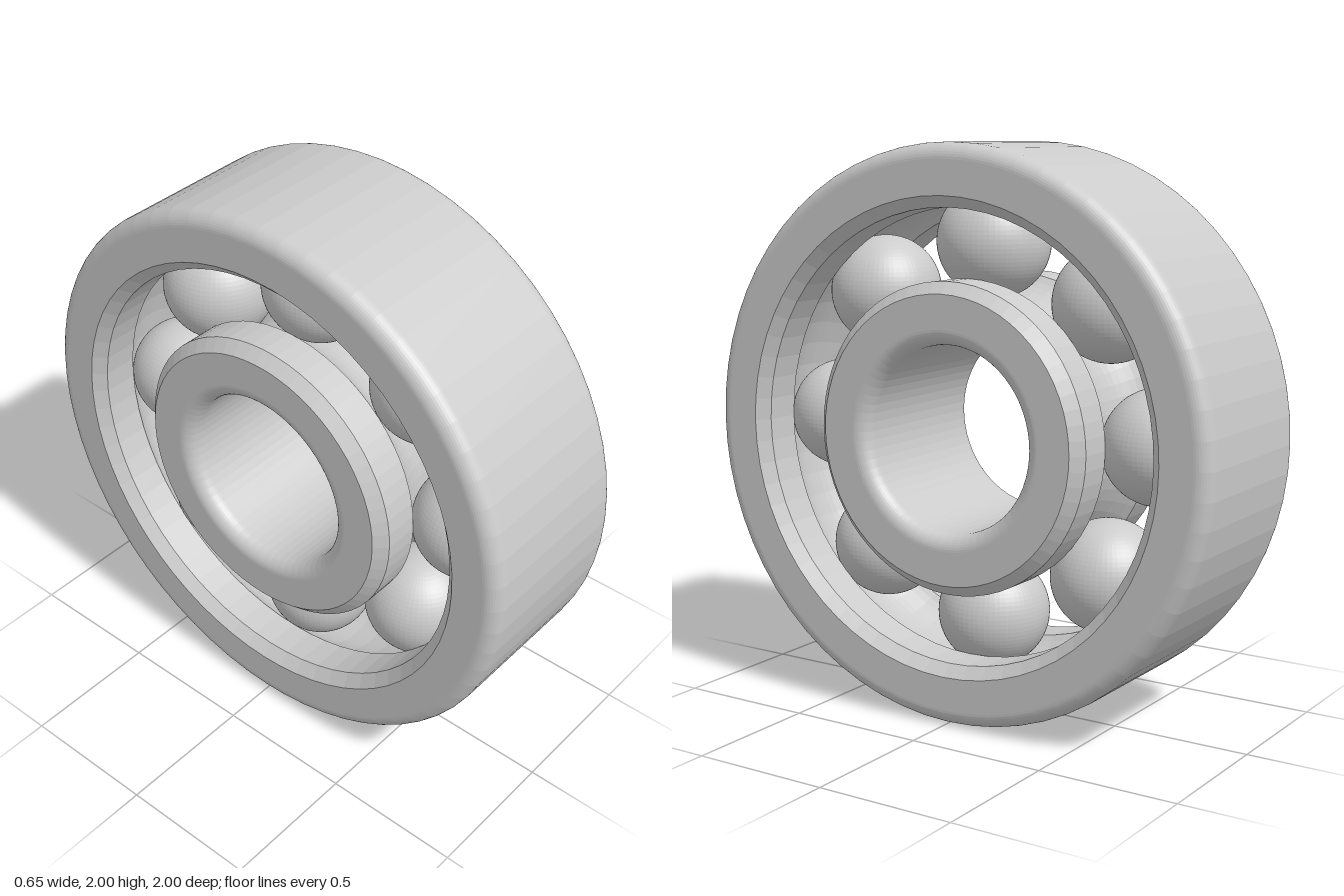
import * as THREE from 'three';

const HALF = 0.325;      // half width of both rings
const FILLET = 0.055;
const CHAMFER = 0.04;
const PITCH = 0.66;      // radius of the ball circle
const BALL = 0.2;
const BALLS = 8;

const material = new THREE.MeshStandardMaterial({
  color: 0xcccccc, flatShading: true, side: THREE.DoubleSide,
});

const point = (r, x) => new THREE.Vector2(r, x);

// Points along a circular arc in the (radius, width) plane
function arc(r, x, radius, start, end, steps) {
  return Array.from({ length: steps + 1 }, (_, i) => {
    const t = start + ((end - start) * i) / steps;
    return point(r + radius * Math.cos(t), x + radius * Math.sin(t));
  });
}

// Spins a closed, counterclockwise profile about the x axis
function ring(name, profile) {
  const geometry = new THREE.LatheGeometry(profile, 64);
  geometry.rotateZ(-Math.PI / 2);
  const mesh = new THREE.Mesh(geometry, material);
  mesh.name = name;
  return mesh;
}

// Rounded outside, chamfered inside, with a ball groove in the inner wall
function outerRing() {
  const outer = 1, inner = 0.785;
  const a = Math.acos((inner - PITCH) / BALL);
  return ring('outerRing', [
    point(inner + CHAMFER, -HALF),
    ...arc(outer - FILLET, -HALF + FILLET, FILLET, -Math.PI / 2, 0, 10),
    ...arc(outer - FILLET, HALF - FILLET, FILLET, 0, Math.PI / 2, 10),
    point(inner + CHAMFER, HALF),
    point(inner, HALF - CHAMFER),
    ...arc(PITCH, 0, BALL, a, -a, 14),
    point(inner, -HALF + CHAMFER),
    point(inner + CHAMFER, -HALF),
  ]);
}

// Chamfered outside with a ball groove, rounded bore
function innerRing() {
  const outer = 0.54, bore = 0.325;
  const a = Math.acos((PITCH - outer) / BALL);
  return ring('innerRing', [
    point(outer - CHAMFER, -HALF),
    point(outer, -HALF + CHAMFER),
    ...arc(PITCH, 0, BALL, Math.PI + a, Math.PI - a, 14),
    point(outer, HALF - CHAMFER),
    point(outer - CHAMFER, HALF),
    ...arc(bore + FILLET, HALF - FILLET, FILLET, Math.PI / 2, Math.PI, 10),
    ...arc(bore + FILLET, -HALF + FILLET, FILLET, Math.PI, Math.PI * 1.5, 10),
    point(outer - CHAMFER, -HALF),
  ]);
}

export function createModel() {
  const model = new THREE.Group();
  model.name = 'ballBearing';

  const bearing = new THREE.Group();
  bearing.name = 'bearing';
  bearing.position.y = 1;
  bearing.add(outerRing(), innerRing());

  // Evenly spaced balls between the rings
  const ballGeometry = new THREE.SphereGeometry(BALL, 64, 40);
  for (let i = 0; i < BALLS; i++) {
    const angle = (i / BALLS) * Math.PI * 2;
    const ball = new THREE.Mesh(ballGeometry, material);
    ball.name = `ball${i + 1}`;
    ball.position.set(0, PITCH * Math.cos(angle), PITCH * Math.sin(angle));
    bearing.add(ball);
  }

  model.add(bearing);
  return model;
}
